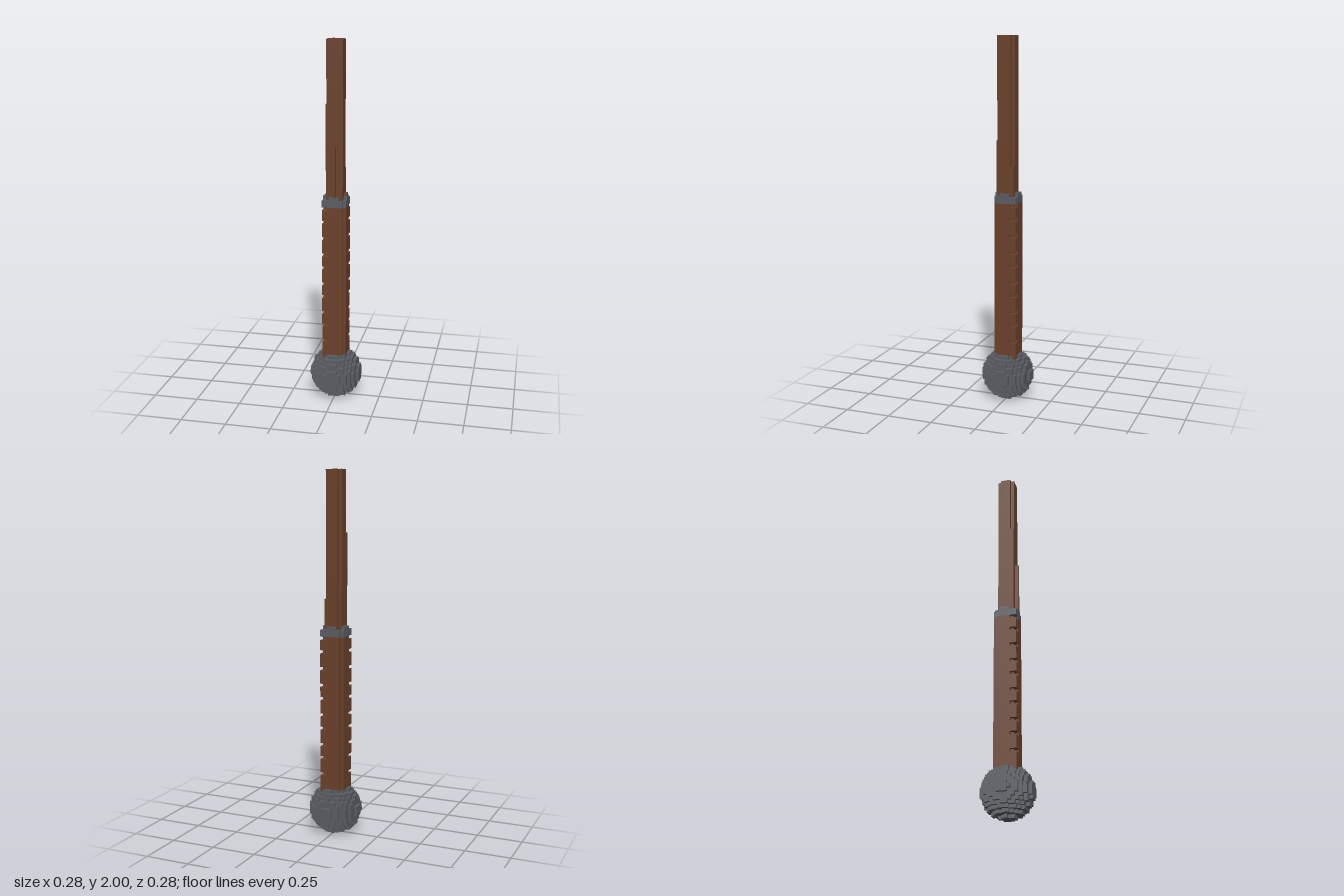
import * as THREE from 'three';

const V = 2 / 108; // cube size: the model is 108 cubes tall

// Rows (in cubes) where small notches are cut in two grip corners
const notchRows = new Set(Array.from({ length: 10 }, (_, n) => Math.round(18 + 4.57 * n)));

// Each part is a rule telling which cubes (x, row, z) are filled
const parts = {
  ball: (x, y, z) => y >= 0 && y <= 14 &&
    (x - 0.09) ** 2 + (y - 7) ** 2 + (z - 0.11) ** 2 < 53.9,

  grip: (x, y, z) => {
    if (y < 12 || y > 59 || Math.abs(x) > 3 || Math.abs(z) > 3) return false;
    if (x === z && Math.abs(x) === 3) return false; // grooves on two corners
    const notched = x * z < 0 && Math.abs(x) + Math.abs(z) >= 5;
    return !(notched && notchRows.has(y));
  },

  collar: (x, y, z) => {
    const a = Math.max(Math.abs(x), Math.abs(z)), b = Math.min(Math.abs(x), Math.abs(z));
    if (y === 60 || y === 61) return a <= 3 && !(x === z && a === 3);
    return y === 62 && a === 3 && b <= 1;
  },

  shaft: (x, y, z) => {
    if (y < 62 || y > 107) return false;
    if (x === 0 && z === 3) return y < 78; // front rib
    if (x === 3 && z === 0) return y < 64; // side rib
    if (Math.abs(x) > 2 || Math.abs(z) > 2) return false;
    if (x === -2 && z === -2) return false;
    if (x === -2 && z === 2) return y < 90;
    if (x === 2 && z === -2) return y < 71;
    return true;
  },
};
const filled = (x, y, z) => Object.values(parts).some((inside) => inside(x, y, z));

// Builds only the exposed cube faces of one part
function blockGeometry(inside) {
  const pos = [], nor = [], idx = [];
  for (let y = 0; y < 108; y++) for (let x = -7; x <= 7; x++) for (let z = -7; z <= 7; z++) {
    if (!inside(x, y, z)) continue;
    for (let axis = 0; axis < 3; axis++) for (const s of [-1, 1]) {
      const n = [0, 0, 0];
      n[axis] = s;
      if (filled(x + n[0], y + n[1], z + n[2])) continue;
      const base = pos.length / 3;
      for (const [u, v] of [[-1, -1], [1, -1], [1, 1], [-1, 1]]) {
        const d = [0, 0, 0];
        d[axis] = s;
        d[(axis + 1) % 3] = u * s; // flips the winding on negative sides
        d[(axis + 2) % 3] = v;
        pos.push((x + d[0] / 2) * V, (y + 0.5 + d[1] / 2) * V, (z + d[2] / 2) * V);
        nor.push(...n);
      }
      idx.push(base, base + 1, base + 2, base, base + 2, base + 3);
    }
  }
  const g = new THREE.BufferGeometry();
  g.setAttribute('position', new THREE.Float32BufferAttribute(pos, 3));
  g.setAttribute('normal', new THREE.Float32BufferAttribute(nor, 3));
  g.setIndex(idx);
  return g;
}

export function createModel() {
  const wood = new THREE.MeshStandardMaterial({ color: 0x6b412a });
  wood.name = 'brown wood';
  const iron = new THREE.MeshStandardMaterial({ color: 0x5a5d63 });
  iron.name = 'grey iron';
  const materials = { ball: iron, grip: wood, collar: iron, shaft: wood };

  const model = new THREE.Group();
  model.name = 'mace';
  for (const [name, inside] of Object.entries(parts)) {
    // Where parts overlap, the earlier part in the list owns the cube
    const earlier = Object.values(parts).slice(0, Object.keys(parts).indexOf(name));
    const own = (x, y, z) => inside(x, y, z) && !earlier.some((f) => f(x, y, z));
    const mesh = new THREE.Mesh(blockGeometry(own), materials[name]);
    mesh.name = name;
    model.add(mesh);
  }
  return model;
}
